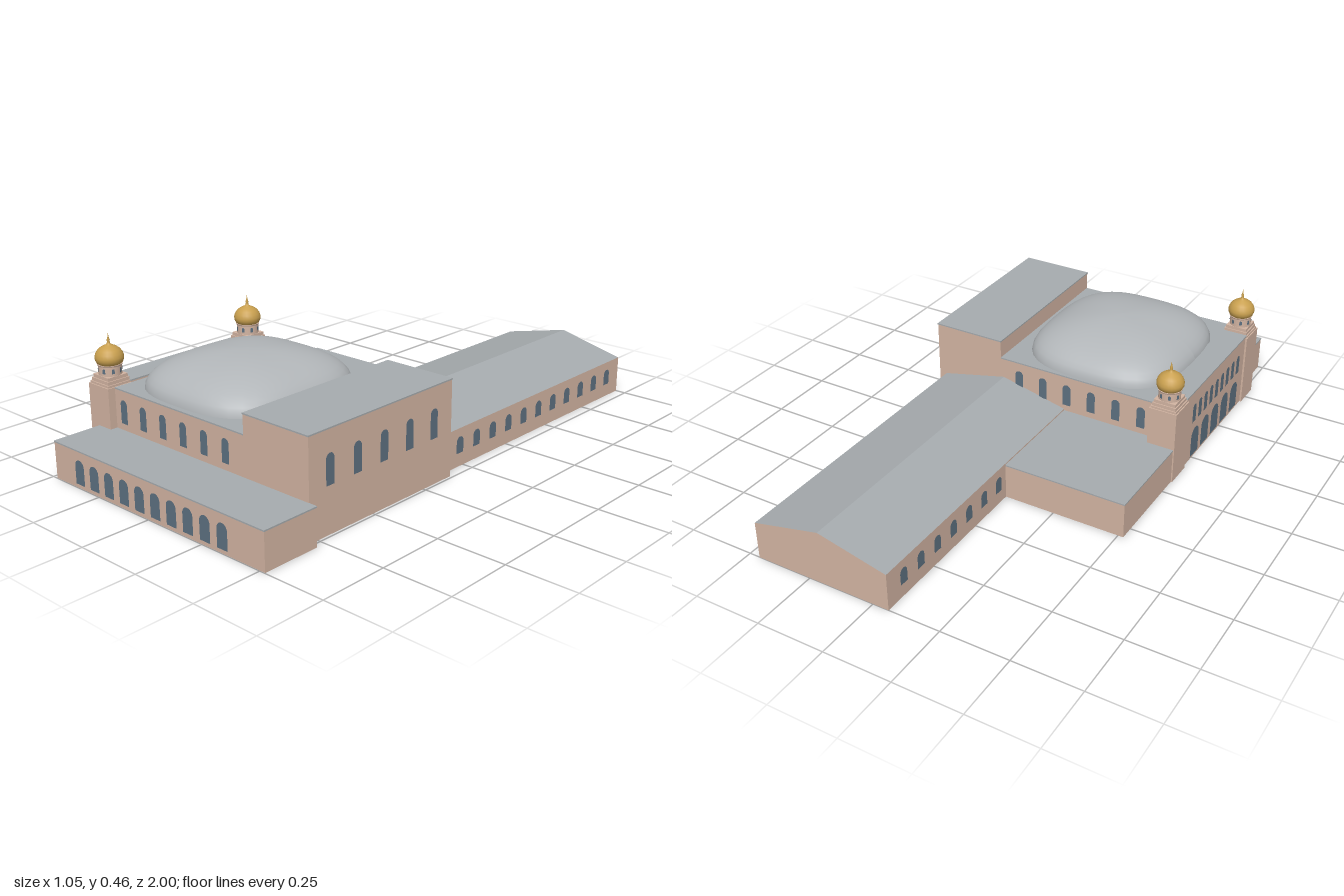
import * as THREE from 'three';

const mat = (color) => new THREE.MeshStandardMaterial({ color, side: THREE.DoubleSide });

export function createModel() {
  const wall = mat(0xd2b4a2), roof = mat(0xa6abae), glass = mat(0x5d7080);
  const gold = mat(0xc9a04f), domeMat = mat(0xb2b6b9);
  const model = new THREE.Group();

  const add = (parent, name, geo, material, x = 0, y = 0, z = 0) => {
    const m = new THREE.Mesh(geo, material);
    m.name = name;
    m.position.set(x, y, z);
    parent.add(m);
    return m;
  };

  // Four open-bottomed walls extruded from a plan outline
  const wallsOf = (points, h) => {
    const pos = [];
    points.forEach(([x0, z0], i) => {
      const [x1, z1] = points[(i + 1) % points.length];
      pos.push(x0, 0, z0, x1, 0, z1, x1, h, z1, x0, 0, z0, x1, h, z1, x0, h, z0);
    });
    const g = new THREE.BufferGeometry();
    g.setAttribute('position', new THREE.Float32BufferAttribute(pos, 3));
    g.computeVertexNormals();
    return g;
  };

  // Flat-roofed block with a thin projecting roof slab
  const block = (name, x0, x1, z0, z1, h, lip = 0.003) => {
    const g = new THREE.Group();
    g.name = name;
    add(g, name + 'Walls', wallsOf([[x0, z1], [x1, z1], [x1, z0], [x0, z0]], h - 0.005), wall);
    add(g, name + 'Roof', new THREE.BoxGeometry(x1 - x0 + lip, 0.005, z1 - z0 + lip), roof,
      (x0 + x1) / 2, h - 0.0025, (z0 + z1) / 2);
    model.add(g);
  };

  block('frontGallery', -0.48, 0.52, 0.785, 0.998, 0.135);
  block('mainHall', -0.42, 0.212, 0.11, 0.785, 0.28, 0);
  block('tallBlock', 0.212, 0.49, 0.11, 0.785, 0.35);
  block('rearAnnex', -0.52, -0.06, -0.304, 0.11, 0.135);
  block('entranceFacade', -0.518, -0.42, 0.17, 0.715, 0.29);

  // Long rear wing with a low gable
  const wing = new THREE.Group();
  wing.name = 'rearWing';
  model.add(wing);
  const [wx0, wx1, wr, eave, ridge, zb, zf] = [-0.06, 0.46, 0.2, 0.14, 0.2, -1, 0.11];
  add(wing, 'wingWalls', wallsOf([[wx0, zf], [wx1, zf], [wx1, zb], [wx0, zb]], eave), wall);
  const gable = new THREE.Shape([
    new THREE.Vector2(wx0, eave), new THREE.Vector2(wx1, eave), new THREE.Vector2(wr, ridge)]);
  for (const z of [zb, zf]) {
    const m = add(wing, 'wingGable', new THREE.ShapeGeometry(gable), wall, 0, 0, z);
    if (z === zb) m.geometry.scale(1, 1, -1);
  }
  const slopes = new THREE.BufferGeometry();
  slopes.setAttribute('position', new THREE.Float32BufferAttribute([
    wx0, eave, zf, wr, ridge, zf, wr, ridge, zb, wx0, eave, zf, wr, ridge, zb, wx0, eave, zb,
    wr, ridge, zf, wx1, eave, zf, wx1, eave, zb, wr, ridge, zf, wx1, eave, zb, wr, ridge, zb], 3));
  slopes.computeVertexNormals();
  add(wing, 'wingRoof', slopes, roof);

  // Round-headed window, base centred on the origin and facing +z
  const arch = (w, h) => {
    const s = new THREE.Shape();
    s.moveTo(-w / 2, 0);
    s.lineTo(w / 2, 0);
    s.lineTo(w / 2, h - w / 2);
    s.absarc(0, h - w / 2, w / 2, 0, Math.PI, false);
    s.lineTo(-w / 2, 0);
    return new THREE.ShapeGeometry(s, 8);
  };
  // Row of windows: place(t) gives [x, z] for each step along the wall
  const row = (name, count, first, step, y, w, h, angle, place) => {
    const g = new THREE.Group();
    g.name = name;
    const geo = arch(w, h);
    for (let i = 0; i < count; i++) {
      const [x, z] = place(first + i * step);
      add(g, 'archedWindow', geo, glass, x, y, z).rotation.y = angle;
    }
    model.add(g);
  };
  const R = Math.PI / 2;
  row('galleryWindows', 10, -0.346, 0.0765, 0.014, 0.046, 0.087, 0, (t) => [t, 1]);
  row('hallFrontWindows', 6, -0.372, 0.1005, 0.16, 0.033, 0.085, 0, (t) => [t, 0.788]);
  row('hallBackWindows', 6, -0.372, 0.1005, 0.16, 0.033, 0.085, Math.PI, (t) => [t, 0.107]);
  row('tallBlockWindows', 5, 0.204, 0.123, 0.165, 0.036, 0.105, R, (t) => [0.493, t]);
  row('wingLeftWindows', 11, -0.914, 0.0935, 0.05, 0.037, 0.06, R, (t) => [0.462, t]);
  row('wingRightWindows', 11, -0.914, 0.0935, 0.05, 0.037, 0.06, -R, (t) => [-0.062, t]);
  row('facadeDoors', 5, 0.262, 0.09, 0.012, 0.066, 0.115, -R, (t) => [-0.521, t]);
  row('facadeUpperWindows', 9, 0.242, 0.05, 0.16, 0.028, 0.075, -R, (t) => [-0.521, t]);

  // Rounded-square main dome
  const dome = new THREE.SphereGeometry(1, 48, 12, 0, Math.PI * 2, 0, Math.PI / 2);
  const p = dome.attributes.position;
  for (let i = 0; i < p.count; i++) {
    const x = p.getX(i), z = p.getZ(i), r = Math.hypot(x, z);
    const n = (Math.abs(x) ** 3 + Math.abs(z) ** 3) ** (1 / 3);
    const k = n > 1e-6 ? r / n : 1;
    p.setXYZ(i, x * k * 0.304, p.getY(i) * 0.125, z * k * 0.322);
  }
  dome.computeVertexNormals();
  add(model, 'mainDome', dome, domeMat, -0.123, 0.279, 0.444);

  // Corner towers with stepped plinth, drum, onion dome and finial
  const onion = [[0.036, 0.347], [0.044, 0.353], [0.049, 0.364], [0.0495, 0.374], [0.046, 0.386],
    [0.038, 0.398], [0.026, 0.407], [0.013, 0.413], [0.006, 0.418], [0.0045, 0.425],
    [0.0055, 0.431], [0.003, 0.437], [0, 0.455]].map(([r, y]) => new THREE.Vector2(r, y));
  for (const z of [0.122, 0.76]) {
    const t = new THREE.Group();
    t.name = 'cornerTower';
    t.position.set(-0.472, 0, z);
    model.add(t);
    const s = 0.053;
    add(t, 'towerWalls', wallsOf([[-s, s], [s, s], [s, -s], [-s, -s]], 0.275), wall);
    [[0.106, 0.275, 0.28], [0.098, 0.28, 0.288], [0.09, 0.288, 0.3], [0.082, 0.3, 0.312]]
      .forEach(([w, y0, y1]) =>
        add(t, 'plinthStep', new THREE.BoxGeometry(w, y1 - y0, w), wall, 0, (y0 + y1) / 2, 0));
    add(t, 'drum', new THREE.CylinderGeometry(0.04, 0.04, 0.035, 24), wall, 0, 0.329, 0);
    add(t, 'drumCornice', new THREE.CylinderGeometry(0.044, 0.042, 0.005, 24), wall, 0, 0.347, 0);
    for (let i = 0; i < 8; i++) {
      const a = (i + 0.5) * Math.PI / 4;
      add(t, 'drumWindow', arch(0.01, 0.017), glass, Math.sin(a) * 0.041, 0.321, Math.cos(a) * 0.041)
        .rotation.y = a;
    }
    add(t, 'onionDome', new THREE.LatheGeometry(onion, 24), gold);
  }
  return model;
}
